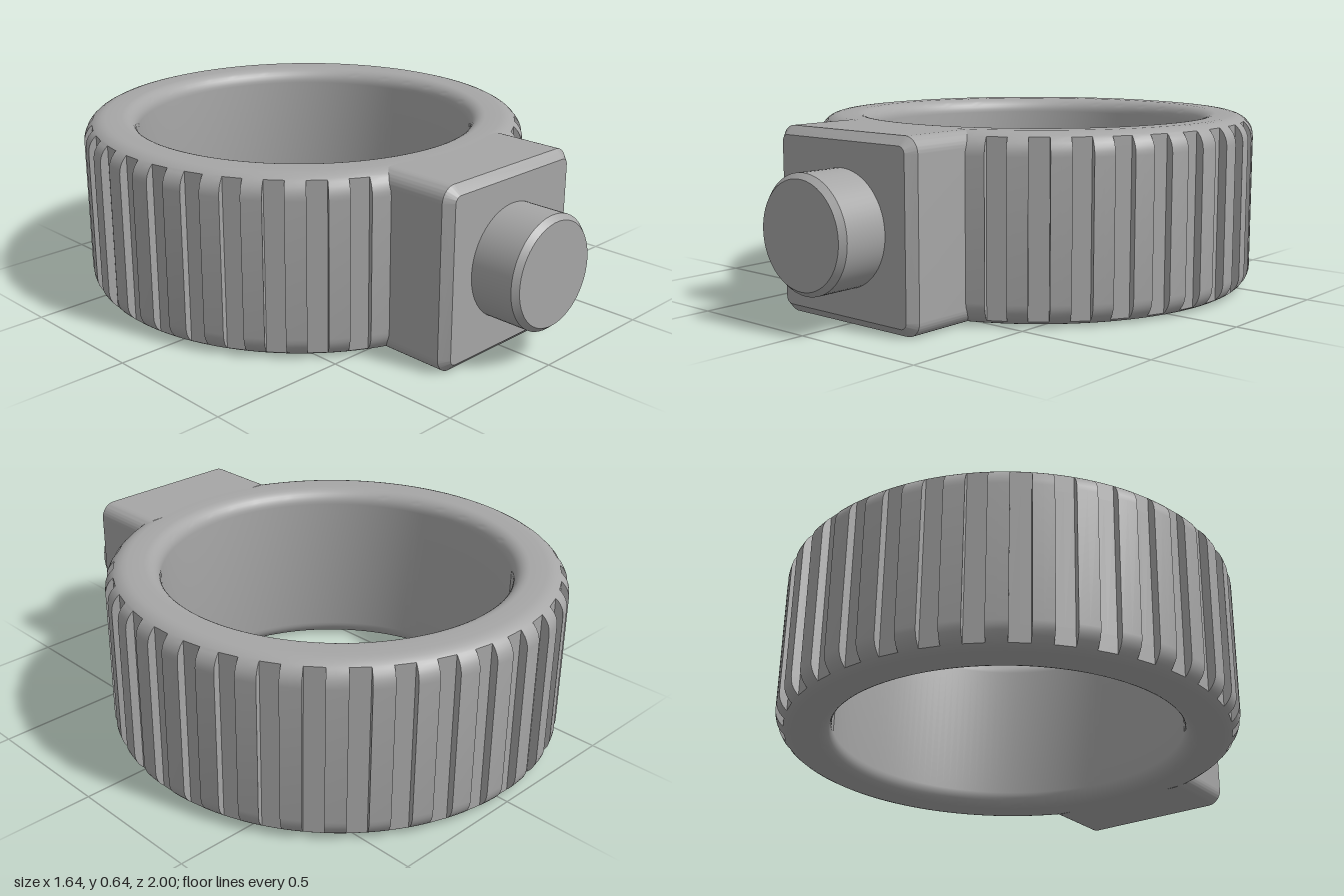
import * as THREE from 'three';
import { toCreasedNormals } from 'three/addons/utils/BufferGeometryUtils.js';

const H = 0.645, R_OUT = 0.82, R_IN = 0.625, R_FLOOR = 0.79, CZ = -0.18;
const FIL_OUT = 0.08, FIL_IN = 0.055, GROOVES = 36;

// Closed ring section as [radius, height], with rounded edges
function ringProfile() {
  const pts = [];
  const arc = (cx, cy, r, from, extra = []) => {
    const angles = [...Array(9).keys()].map((i) => from + (i / 8) * Math.PI / 2);
    angles.push(...extra);
    angles.sort((a, b) => a - b);
    for (const a of angles) pts.push([cx + r * Math.cos(a), cy + r * Math.sin(a)]);
  };
  // the extra point is where the groove floor meets the rounded edge
  const cross = Math.acos((R_FLOOR - (R_OUT - FIL_OUT)) / FIL_OUT);
  arc(R_OUT - FIL_OUT, FIL_OUT, FIL_OUT, -Math.PI / 2, [-cross]);
  arc(R_OUT - FIL_OUT, H - FIL_OUT, FIL_OUT, 0, [cross]);
  arc(R_IN + FIL_IN, H - FIL_IN, FIL_IN, Math.PI / 2);
  arc(R_IN + FIL_IN, FIL_IN, FIL_IN, Math.PI);
  return pts;
}

// Sweep the section around, clamping its radius inside each groove
function grippedRing() {
  const profile = ringProfile();
  const pitch = (Math.PI * 2) / GROOVES;
  const columns = [];
  const addColumn = (angle, limit) => columns.push(profile.map(([r, y]) => {
    const rr = Math.min(r, limit);
    return new THREE.Vector3(rr * Math.sin(angle), y, rr * Math.cos(angle));
  }));
  for (let g = 0; g < GROOVES; g++) {
    for (const t of [-0.25, 0, 0.25]) {
      addColumn((g + t) * pitch, t === 0 ? R_FLOOR * Math.cos(pitch / 4) : R_FLOOR);
    }
    for (const t of [0.25, 0.5, 0.75]) addColumn((g + t) * pitch, Infinity);
  }
  const pos = [];
  const tri = new THREE.Triangle();
  const addTri = (a, b, c) => {
    if (tri.set(a, b, c).getArea() < 1e-9) return;
    for (const p of [a, b, c]) pos.push(p.x, p.y, p.z);
  };
  columns.forEach((col, i) => {
    const next = columns[(i + 1) % columns.length];
    for (let j = 0; j < profile.length; j++) {
      const k = (j + 1) % profile.length;
      addTri(col[j], next[j], next[k]);
      addTri(col[j], next[k], col[k]);
    }
  });
  const geo = new THREE.BufferGeometry();
  geo.setAttribute('position', new THREE.Float32BufferAttribute(pos, 3));
  return toCreasedNormals(geo, 0.5);
}

function roundedRect(hw, hh, r) {
  const s = new THREE.Shape();
  s.absarc(hw - r, hh - r, r, 0, Math.PI / 2);
  s.absarc(-hw + r, hh - r, r, Math.PI / 2, Math.PI);
  s.absarc(-hw + r, -hh + r, r, Math.PI, Math.PI * 1.5);
  s.absarc(hw - r, -hh + r, r, Math.PI * 1.5, Math.PI * 2);
  return s;
}

export function createModel() {
  const group = new THREE.Group();
  const grey = new THREE.MeshStandardMaterial({ color: 0xa6a6a6 });
  grey.name = 'grey';
  const add = (name, geo, x, y, z) => {
    const mesh = new THREE.Mesh(geo, grey);
    mesh.name = name;
    mesh.position.set(x, y, z);
    group.add(mesh);
    return mesh;
  };

  // Ring with vertical grip grooves
  add('grippedRing', grippedRing(), 0, 0, CZ);

  // Square boss with rounded corners and chamfered front
  const bevel = 0.03, back = 0.495, front = 0.82;
  const boss = new THREE.ExtrudeGeometry(
    roundedRect(0.32 - bevel, H / 2 - bevel, 0.025),
    { depth: front - back - 2 * bevel, bevelEnabled: true, bevelSegments: 1,
      bevelSize: bevel, bevelThickness: bevel, curveSegments: 8 });
  add('boss', toCreasedNormals(boss, 0.5), 0, H / 2, back + bevel);

  // Round button with a chamfered end
  const button = new THREE.LatheGeometry([
    new THREE.Vector2(0.2, 0), new THREE.Vector2(0.2, 0.18),
    new THREE.Vector2(0.182, 0.2), new THREE.Vector2(0, 0.2)], 64);
  button.rotateX(Math.PI / 2);
  add('button', toCreasedNormals(button, 0.5), 0, 0.325, 0.8);

  return group;
}
